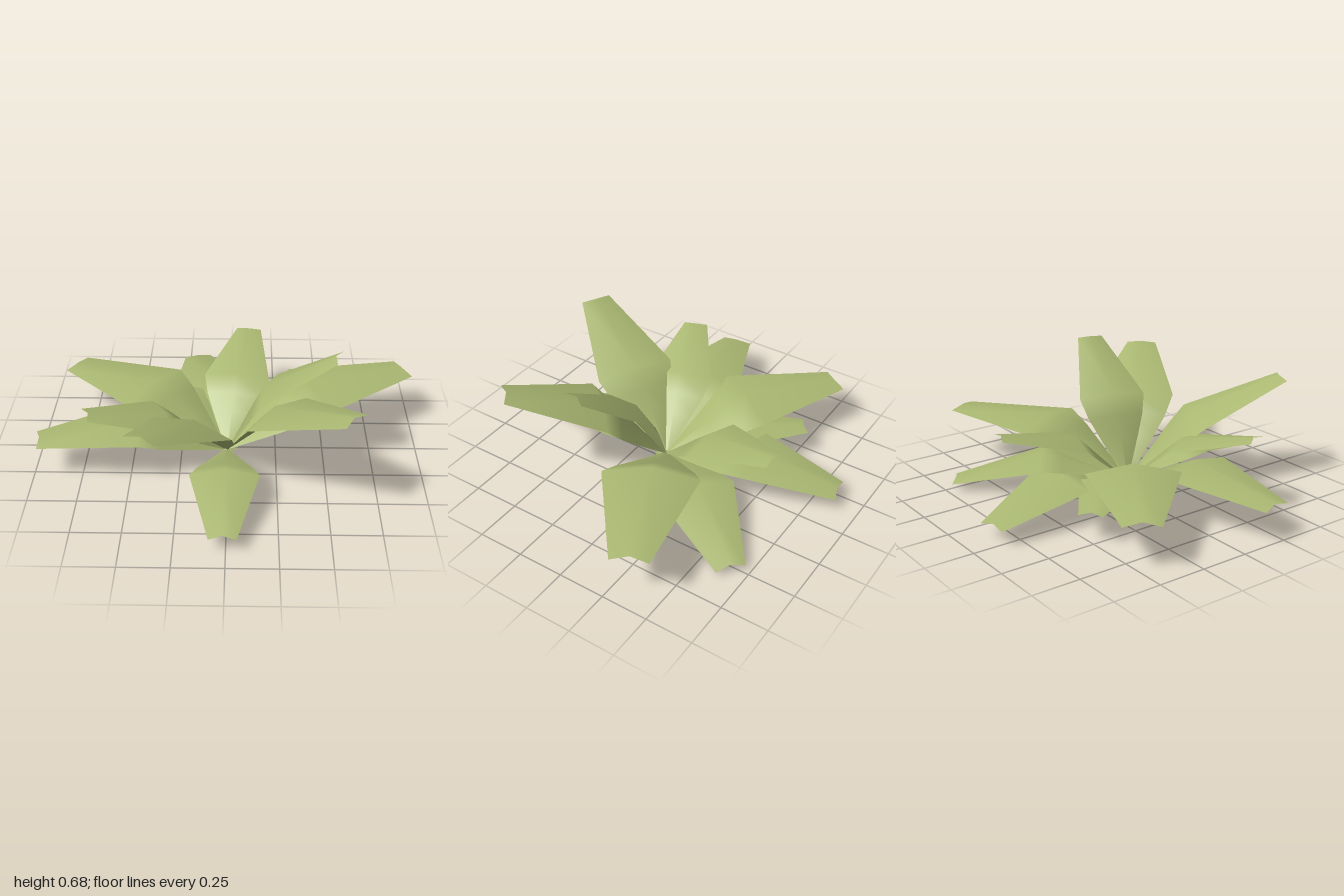
import * as THREE from 'three';

const CENTRE = new THREE.Vector3(-0.01, 0, 0.07);

// One arched leaf: tip position plus the radius and height of its widest point
function leafGeometry([tipX, tipY, tipZ, midR, midY], tailY) {
  const dx = tipX - CENTRE.x, dz = tipZ - CENTRE.z;
  const tipR = Math.hypot(dx, dz);
  const out = new THREE.Vector3(dx / tipR, 0, dz / tipR);
  const side = new THREE.Vector3(-out.z, 0, out.x);
  const half = Math.hypot(tipR - midR, tipY - midY);
  const pitch = Math.atan2(tipY - 0.035, tipR);
  const rise = midY - 0.035;

  // Cross-sections along the leaf: radius, height, half width
  const rows = [
    [-0.06, tailY, 0.006],
    [0.01, 0.04, 0.012],
    [midR * 0.5, 0.035 + rise * 0.49, half * 0.24],
    [midR * 0.75, 0.035 + rise * 0.75, half * 0.35],
    [midR, midY, half * 0.42],
    [tipR, tipY, half * 0.16],
  ];
  const positions = [], index = [];
  rows.forEach(([r, y, w], i) => {
    const notch = i === rows.length - 1 ? 0.012 : 0;
    for (const k of [-1, 0, 1]) {
      const arch = w * (k === 0 ? 0.1 : -0.1);
      const p = CENTRE.clone()
        .addScaledVector(out, r - (k === 0 ? notch : 0) - arch * Math.sin(pitch))
        .addScaledVector(side, k * w);
      positions.push(p.x, y + arch * Math.cos(pitch), p.z);
    }
    if (i === 0) return;
    for (const k of [0, 1]) {
      const a = (i - 1) * 3 + k, b = a + 3;
      index.push(a, a + 1, b, a + 1, b + 1, b);
    }
  });
  const geometry = new THREE.BufferGeometry();
  geometry.setAttribute('position', new THREE.Float32BufferAttribute(positions, 3));
  geometry.setIndex(index);
  geometry.computeVertexNormals();
  return geometry;
}

export function createModel() {
  const plant = new THREE.Group();
  plant.name = 'leafyPlant';
  const material = new THREE.MeshStandardMaterial({ color: 0xaab872, side: THREE.DoubleSide });

  // Tip x, y, z, then radius and height of the bend
  const leaves = {
    outer: [
      [-0.2, 0.085, -0.875, 0.5, 0.19],
      [0.54, 0.04, -0.675, 0.46, 0.165],
      [-0.015, 0.08, 0.885, 0.41, 0.17],
      [-0.5, 0.155, -0.515, 0.39, 0.185],
    ],
    middle: [
      [0.96, 0.285, -0.385, 0.48, 0.305],
      [-0.87, 0.235, -0.5, 0.47, 0.28],
      [-0.985, 0.18, 0.21, 0.47, 0.25],
      [-0.705, 0.405, 0.33, 0.34, 0.32],
      [0.105, 0.39, -0.645, 0.31, 0.31],
    ],
    upright: [
      [0.6, 0.575, 0.635, 0.34, 0.42],
      [-0.39, 0.57, 0.805, 0.34, 0.38],
      [0.545, 0.68, 0.225, 0.21, 0.44],
    ],
  };
  for (const [ring, specs] of Object.entries(leaves)) {
    specs.forEach((spec, i) => {
      const leaf = new THREE.Mesh(leafGeometry(spec, 0.001 + 0.012 * i), material);
      leaf.name = `${ring}Leaf${i + 1}`;
      plant.add(leaf);
    });
  }
  return plant;
}
